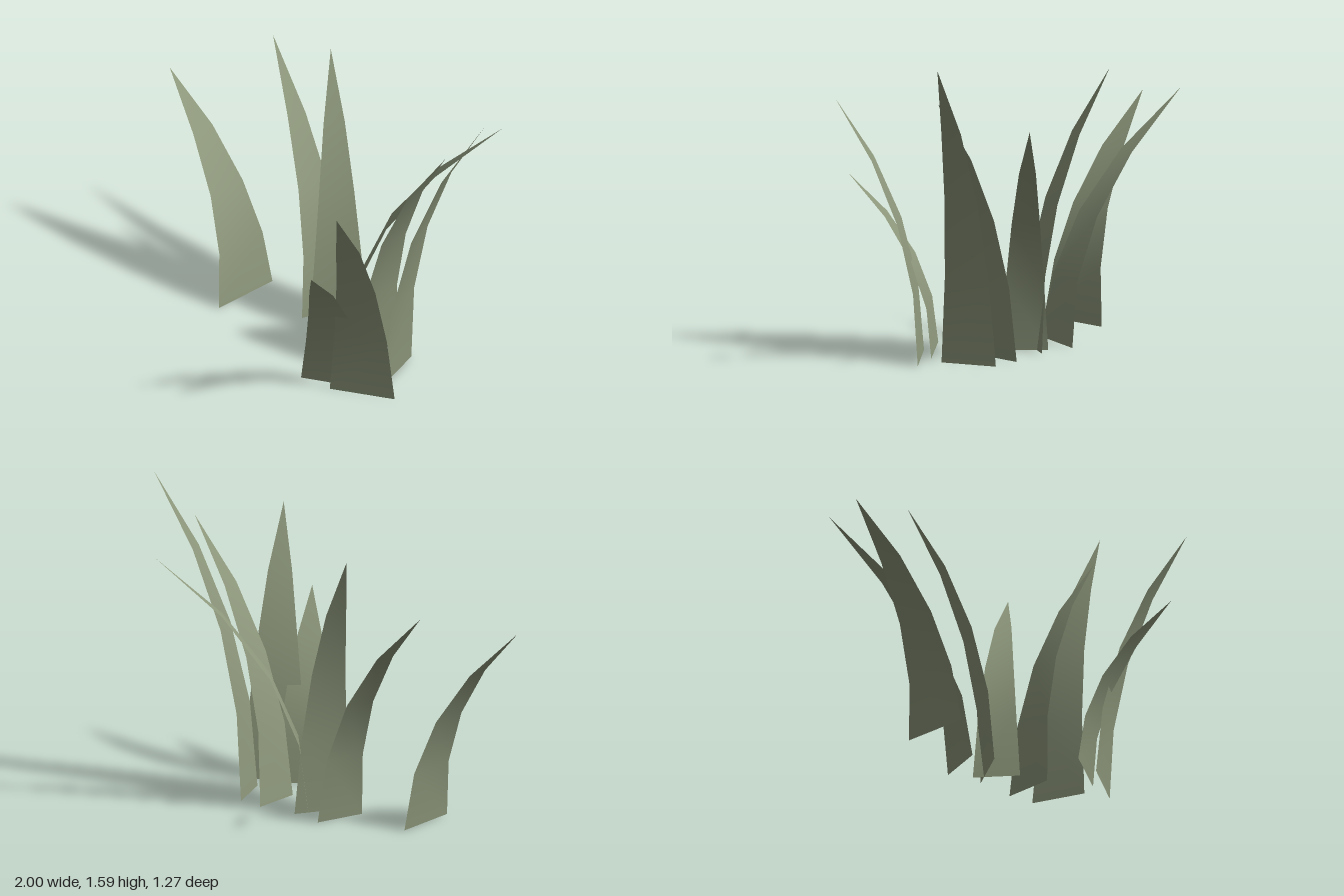
import * as THREE from 'three';

const SEGMENTS = 4;

// Flat tapering blade: base corners a and b as [x, z], tip as [x, y, z].
// It rises almost evenly while the sideways lean grows with the square of t.
function bladeGeometry(a, b, tip) {
  const cx = (a[0] + b[0]) / 2, cz = (a[1] + b[1]) / 2;
  const hx = (b[0] - a[0]) / 2, hz = (b[1] - a[1]) / 2;
  const pos = [], index = [];
  for (let i = 0; i < SEGMENTS; i++) {
    const t = i / SEGMENTS;
    const x = cx + (tip[0] - cx) * t * t;
    const y = tip[1] * (1.11 * t - 0.11 * t * t);
    const z = cz + (tip[2] - cz) * t * t;
    const w = Math.pow(1 - t, 0.74);
    pos.push(x - hx * w, y, z - hz * w, x + hx * w, y, z + hz * w);
    const k = i * 2;
    if (i < SEGMENTS - 1) index.push(k, k + 1, k + 3, k, k + 3, k + 2);
    else index.push(k, k + 1, k + 2);
  }
  pos.push(...tip);
  const g = new THREE.BufferGeometry();
  g.setAttribute('position', new THREE.Float32BufferAttribute(pos, 3));
  g.setIndex(index);
  g.computeVertexNormals();
  return g;
}

export function createModel() {
  const group = new THREE.Group();
  group.name = 'grassClump';
  const grass = new THREE.MeshStandardMaterial({ color: 0x8e987c, side: THREE.DoubleSide });
  grass.name = 'grassGreen';

  // Each blade: two base corners and the tip
  const blades = {
    farRightBlade: [[-0.5, 0.02], [-0.42, -0.32], [-1, 1.05, -0.28]],
    backRightBlade: [[-0.12, -0.14], [0.02, -0.36], [-0.64, 1.18, -0.64]],
    backMiddleBlade: [[-0.03, -0.07], [0.18, -0.27], [-0.18, 1.37, -0.47]],
    backLeftBlade: [[0.105, -0.27], [0.2, -0.06], [0.82, 1.28, -0.49]],
    innerLeftBlade: [[0.315, 0.025], [0.38, -0.225], [0.82, 1.37, -0.005]],
    tallLeftBlade: [[0.535, 0.105], [0.505, -0.17], [1, 1.585, -0.08]],
    shortFrontBlade: [[0.17, 0.285], [0.49, 0.18], [0.47, 0.88, 0.63]],
    longFrontBlade: [[0.34, 0.285], [0.65, 0.18], [0.62, 1.285, 0.63]],
  };
  for (const [name, [a, b, tip]] of Object.entries(blades)) {
    const mesh = new THREE.Mesh(bladeGeometry(a, b, tip), grass);
    mesh.name = name;
    group.add(mesh);
  }
  return group;
}
